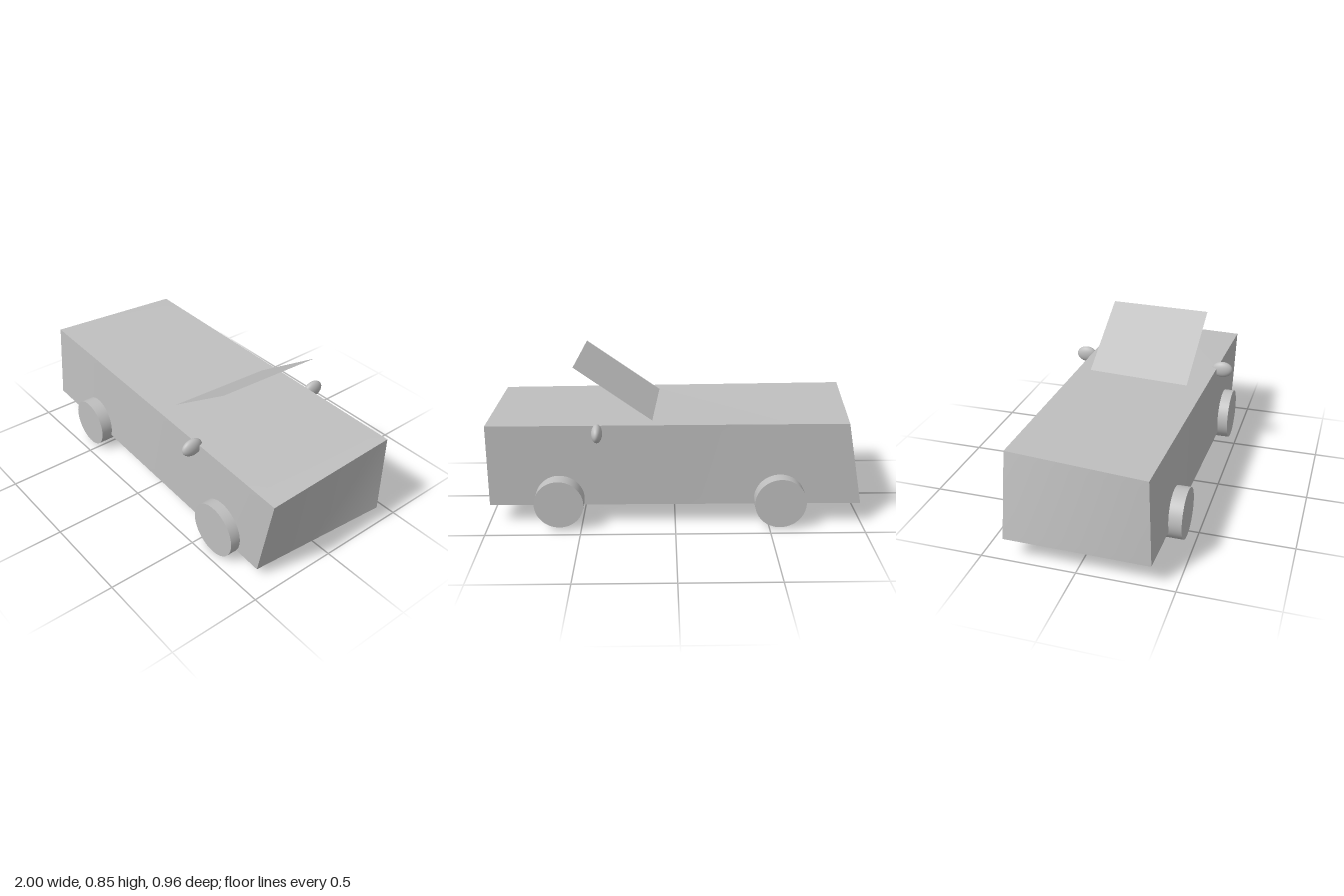
import * as THREE from 'three';

const grey = new THREE.MeshStandardMaterial({ color: 0xbfbfbf });
grey.name = 'plainGrey';
const panelGrey = grey.clone();
panelGrey.name = 'panelGrey';
panelGrey.side = THREE.DoubleSide;

// Box whose eight corners are moved; faces are blended between them.
// Corners are listed [x side][y side][z side], low side first.
function warpedBox(corners, segments) {
  const geometry = new THREE.BoxGeometry(1, 1, 1, segments, segments, segments);
  const pos = geometry.attributes.position;
  const point = new THREE.Vector3();
  for (let i = 0; i < pos.count; i++) {
    const t = [pos.getX(i) + 0.5, pos.getY(i) + 0.5, pos.getZ(i) + 0.5];
    point.set(0, 0, 0);
    corners.forEach((c, n) => {
      const side = [(n >> 2) & 1, (n >> 1) & 1, n & 1];
      const weight = side.reduce((w, s, k) => w * (s ? t[k] : 1 - t[k]), 1);
      point.addScaledVector(new THREE.Vector3(...c), weight);
    });
    pos.setXYZ(i, point.x, point.y, point.z);
  }
  geometry.computeVertexNormals();
  return geometry;
}

export function createModel() {
  const model = new THREE.Group();
  model.name = 'car';
  const add = (name, geometry, material = grey) => {
    const mesh = new THREE.Mesh(geometry, material);
    mesh.name = name;
    model.add(mesh);
    return mesh;
  };

  // Slightly skewed body
  add('body', warpedBox([
    [-0.99, 0.117, -0.38], [-1, 0.12, 0.38],
    [-0.905, 0.567, -0.38], [-0.98, 0.568, 0.36],
    [0.99, 0.11, -0.36], [0.895, 0.06, 0.4],
    [0.987, 0.558, -0.367], [0.995, 0.535, 0.403],
  ], 12));

  // Wheels: x, y, radius, inner z, outer z
  const wheels = [
    ['frontSideLeftEndWheel', -0.56, 0.15, 0.135, 0.345, 0.45],
    ['frontSideRightEndWheel', 0.613, 0.148, 0.147, 0.342, 0.455],
    ['backSideLeftEndWheel', -0.555, 0.147, 0.136, -0.345, -0.45],
    ['backSideRightEndWheel', 0.613, 0.15, 0.13, -0.355, -0.452],
  ];
  for (const [name, x, y, radius, z0, z1] of wheels) {
    const wheel = new THREE.CylinderGeometry(radius, radius, Math.abs(z1 - z0), 64);
    wheel.rotateX(Math.PI / 2);
    add(name, wheel).position.set(x, y, (z0 + z1) / 2);
  }

  // Side mirrors
  for (const side of [1, -1]) {
    const mirror = add(side > 0 ? 'frontSideMirror' : 'backSideMirror',
      new THREE.SphereGeometry(1, 32, 24));
    mirror.scale.set(0.028, 0.047, 0.06);
    mirror.position.set(0.404, 0.535, side * 0.42);
  }

  // Thin leaning windshield
  const windshield = new THREE.BufferGeometry();
  windshield.setAttribute('position', new THREE.Float32BufferAttribute([
    0.082, 0.556, 0.28, 0.5, 0.846, 0.298,
    0.528, 0.846, -0.278, 0.12, 0.562, -0.298,
  ], 3));
  windshield.setIndex([0, 1, 2, 0, 2, 3]);
  windshield.computeVertexNormals();
  add('windshield', windshield, panelGrey);

  return model;
}
